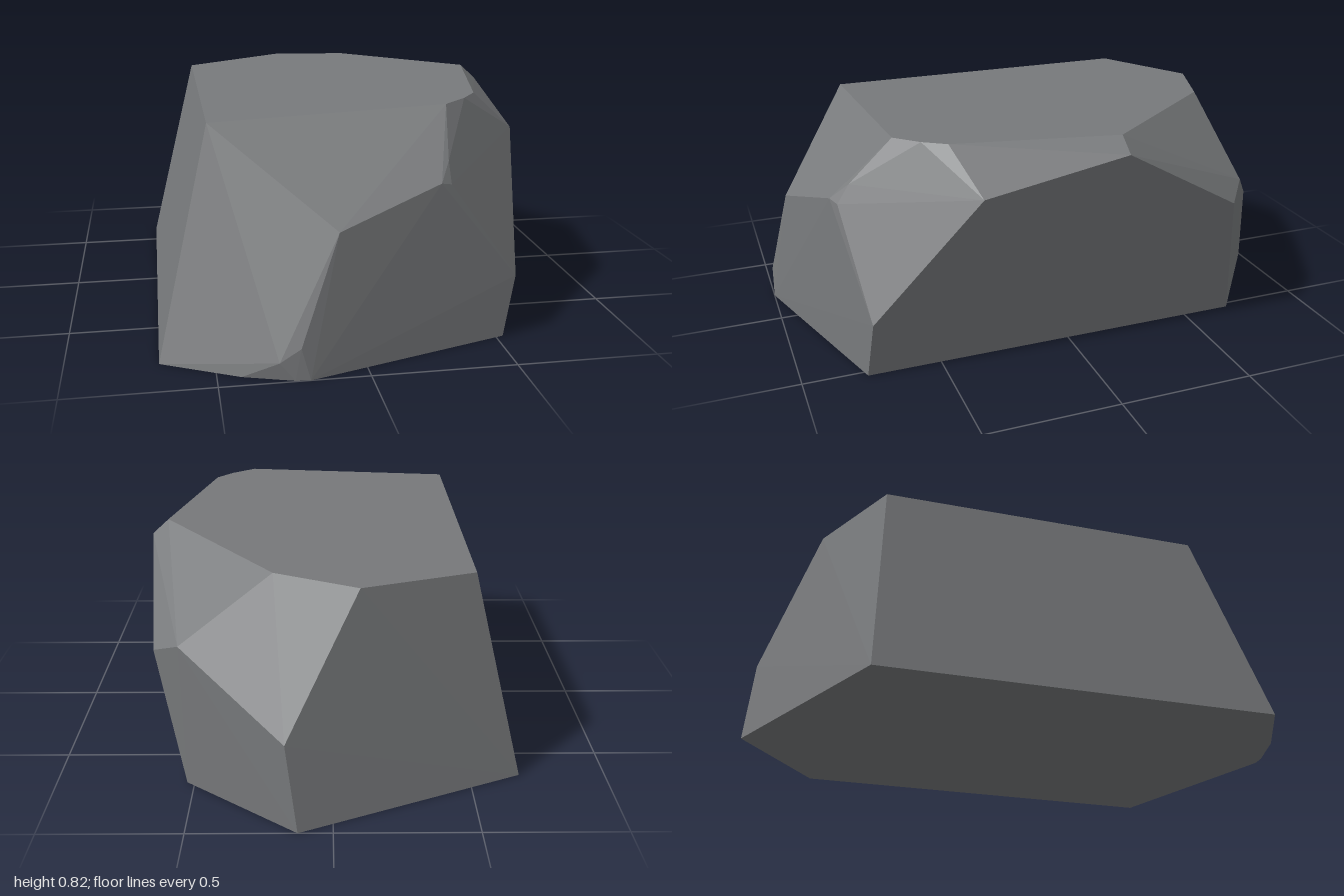
import * as THREE from 'three';
import { ConvexGeometry } from 'three/addons/geometries/ConvexGeometry.js';

// Corners lying on the main cleavage planes
const v = (x, y, z) => new THREE.Vector3(x, y, z);
const onTop = (x, z) => v(x, 0.8 + 0.04 * x, z);
const onRight = (y, z) => v(0.527 + 0.2 * y, y, z);
const onBase = (x, z) => v(x, 0, z);

export function createModel() {
  const stone = new THREE.MeshStandardMaterial({ color: 0x77797b, flatShading: true });
  stone.name = 'grey stone';

  const corners = [
    // gently sloping top
    onTop(-0.495, -0.6), onTop(-0.09, -0.78), onTop(0.2, -0.67), onTop(0.62, -0.15),
    onTop(0.49, 0.44), onTop(0.43, 0.52), onTop(0.34, 0.6), onTop(-0.495, 0.62),
    // overhanging right side
    onRight(0.77, -0.155), onRight(0.67, 0.37), onRight(0.22, 0.75), onRight(0.5, -0.62),
    // back ridge
    v(0.16, 0.32, -0.97), v(0.53, 0.55, -0.7),
    // front ridge and chipped corners
    v(-0.095, 0.475, 0.93), v(0.27, 0.59, 0.82), v(0.31, 0.58, 0.8), v(0.31, 0.65, 0.755),
    v(-0.23, 0.11, 0.995), v(-0.3, 0.06, 0.985),
    // flat base
    onBase(-0.685, -0.65), onBase(0.12, -1), onBase(0.527, -0.69), onBase(0.527, 0.77),
    onBase(-0.2, 1), onBase(-0.25, 0.995), onBase(-0.42, 0.94), onBase(-0.685, 0.8),
  ];

  const rock = new THREE.Mesh(new ConvexGeometry(corners), stone);
  rock.name = 'rock';
  const group = new THREE.Group();
  group.name = 'boulder';
  group.add(rock);
  return group;
}
